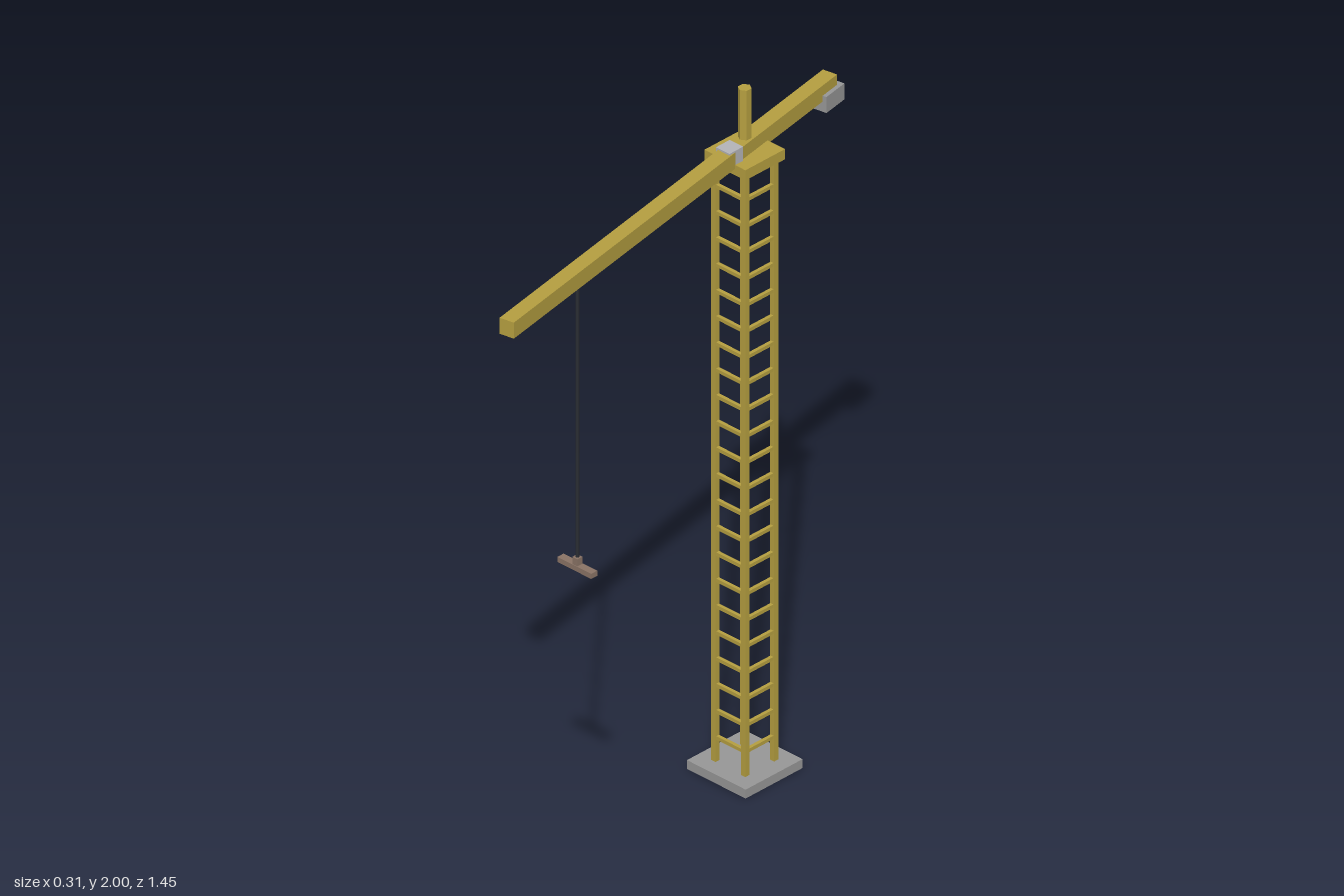
import * as THREE from 'three';

const paint = (name, color) => {
  const m = new THREE.MeshStandardMaterial({ color });
  m.name = name;
  return m;
};

export function createModel() {
  const gold = paint('yellowSteel', 0xb59f40);
  const grey = paint('concreteGrey', 0x979797);
  const pale = paint('cabGrey', 0xb4b4b8);
  const dark = paint('cableDark', 0x2b2e34);
  const brown = paint('loadBrown', 0x8a7466);

  const crane = new THREE.Group();
  crane.name = 'towerCrane';
  const add = (parent, name, geo, mat, x, y, z) => {
    const mesh = new THREE.Mesh(geo, mat);
    mesh.name = name;
    mesh.position.set(x, y, z);
    parent.add(mesh);
    return mesh;
  };
  const box = (parent, name, mat, w, h, d, x, y, z) =>
    add(parent, name, new THREE.BoxGeometry(w, h, d), mat, x, y, z);

  // Tower: footing, four posts, rungs on the +x and +z sides only
  const tower = new THREE.Group();
  tower.name = 'tower';
  tower.position.set(-0.055, 0, -0.334);
  crane.add(tower);
  const half = 0.052, postTop = 1.79, postBase = 0.026;
  box(tower, 'footing', grey, 0.205, 0.026, 0.205, 0, 0.013, 0);
  for (const sx of [-1, 1])
    for (const sz of [-1, 1])
      box(tower, 'post', gold, 0.015, postTop - postBase, 0.015,
        sx * half, (postTop + postBase) / 2, sz * half);
  for (let i = 0; i < 22; i++) {
    const y = 0.096 + i * 0.0771;
    box(tower, 'frontRung', gold, 2 * half, 0.01, 0.01, 0, y, half);
    box(tower, 'sideRung', gold, 0.01, 0.01, 2 * half, half, y, 0);
  }
  box(tower, 'platform', gold, 0.143, 0.03, 0.143, 0, 1.803, 0);

  // Hexagonal mast head
  const mastGeo = new THREE.CylinderGeometry(0.018, 0.018, 0.2, 6).toNonIndexed();
  mastGeo.computeVertexNormals();
  add(tower, 'mastHead', mastGeo, gold, 0, 1.9, 0);

  // Jib and counterweight, turned ten degrees
  const boom = new THREE.Group();
  boom.name = 'boom';
  boom.position.set(0.006, 0, 0.004);
  boom.rotation.y = THREE.MathUtils.degToRad(10);
  crane.add(boom);
  box(boom, 'jib', gold, 0.043, 0.047, 1.445, 0, 1.831, 0);
  box(boom, 'counterweight', grey, 0.066, 0.047, 0.08, 0, 1.801, -0.698);

  // Cab, square to the tower
  box(crane, 'cab', pale, 0.047, 0.051, 0.049, -0.043, 1.834, -0.267);

  // Hoist cable, hook block and spreader bar
  const hoist = new THREE.Group();
  hoist.name = 'hoist';
  hoist.position.set(0.077, 0, 0.405);
  crane.add(hoist);
  add(hoist, 'cable', new THREE.CylinderGeometry(0.005, 0.005, 0.83, 6), dark, 0, 1.405, 0);
  box(hoist, 'hookBlock', brown, 0.018, 0.022, 0.018, 0, 0.99, 0);
  box(hoist, 'spreaderBar', brown, 0.118, 0.015, 0.022, 0, 0.973, 0);

  return crane;
}
